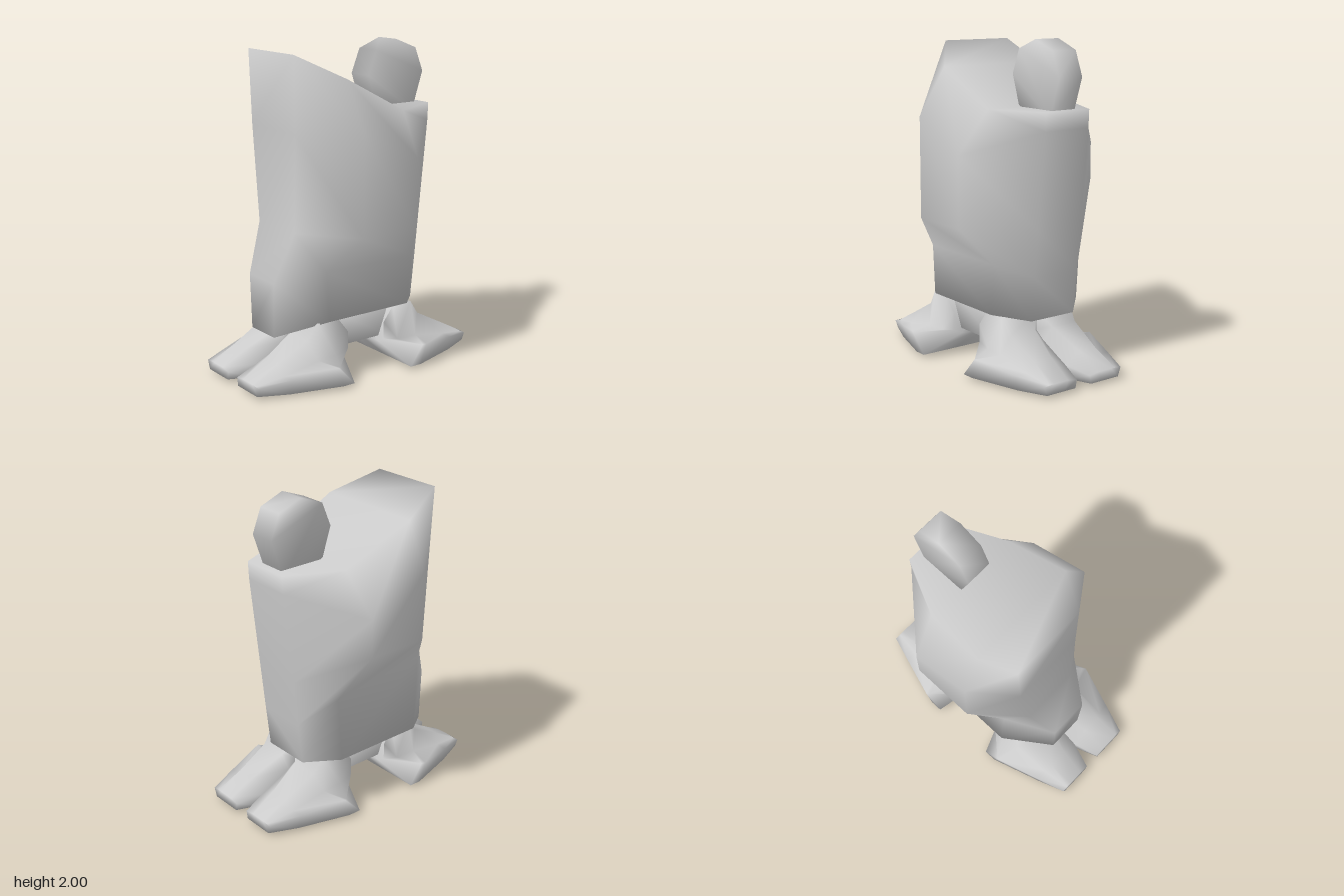
import * as THREE from 'three';

const material = new THREE.MeshStandardMaterial({ color: 0xcccccc });

function addMesh(group, name, geometry) {
  const mesh = new THREE.Mesh(geometry, material);
  mesh.name = name;
  group.add(mesh);
  return mesh;
}

// Skins a list of equal-length rings of [x, y, z] and closes both ends, with smooth normals.
function loft(rings, flip = false) {
  const n = rings[0].length;
  const index = [];
  const tri = (a, b, c) => index.push(a, flip ? c : b, flip ? b : c);
  for (let r = 0; r < rings.length - 1; r++) {
    for (let i = 0; i < n; i++) {
      const a = r * n + i, b = r * n + (i + 1) % n;
      // Mirror the diagonals between the two halves of the ring
      if (i < n / 2) {
        tri(a, b, a + n);
        tri(b, b + n, a + n);
      } else {
        tri(a, b, b + n);
        tri(a, b + n, a + n);
      }
    }
  }
  // Each end is a strip between the two halves of its ring
  const last = (rings.length - 1) * n;
  for (let i = 0, j = n - 1; i + 1 < j; i++, j--) {
    tri(i, j, i + 1);
    tri(last + i, last + i + 1, last + j);
    if (j - 1 > i + 1) {
      tri(i + 1, j, j - 1);
      tri(last + i + 1, last + j - 1, last + j);
    }
  }
  const geometry = new THREE.BufferGeometry();
  geometry.setAttribute('position', new THREE.Float32BufferAttribute(rings.flat(2), 3));
  geometry.setIndex(index);
  geometry.computeVertexNormals();
  return geometry;
}

export function createModel() {
  const model = new THREE.Group();
  const footX = 0.035;

  // Eight-sided body, widest at mid height, with a top that slopes down to the back
  addMesh(model, 'body', loft([
    [[0.13, 0.28, 0.565], [0.33, 0.38, 0.3], [0.33, 0.38, -0.3], [0.16, 0.35, -0.47],
      [-0.16, 0.35, -0.47], [-0.33, 0.38, -0.3], [-0.33, 0.38, 0.3], [-0.11, 0.28, 0.565]],
    [[0.14, 0.62, 0.57], [0.33, 0.69, 0.32], [0.33, 0.69, -0.33], [0.16, 0.62, -0.5],
      [-0.16, 0.62, -0.5], [-0.33, 0.8, -0.33], [-0.33, 0.88, 0.32], [-0.12, 0.62, 0.57]],
    [[0.16, 0.91, 0.43], [0.505, 0.91, 0.18], [0.505, 0.91, -0.22], [0.16, 0.91, -0.53],
      [-0.16, 0.91, -0.53], [-0.505, 1.1, -0.22], [-0.505, 1.1, 0.18], [-0.22, 0.91, 0.43]],
    [[0.16, 1.5, 0.42], [0.505, 1.53, 0.18], [0.505, 1.34, -0.22], [0.16, 1.49, -0.59],
      [-0.16, 1.49, -0.59], [-0.505, 1.34, -0.22], [-0.505, 1.53, 0.18], [-0.3, 1.5, 0.42]],
    [[0.15, 1.96, 0.42], [0.33, 1.82, 0.17], [0.32, 1.6, -0.26], [0.16, 1.6, -0.595],
      [-0.16, 1.6, -0.595], [-0.32, 1.6, -0.26], [-0.385, 1.82, 0.17], [-0.33, 1.96, 0.42]],
  ]));

  // Disc-like head at the back of the top
  const headProfile = [
    [1.55, -0.26], [1.55, -0.53], [1.79, -0.61], [1.94, -0.55],
    [2, -0.395], [1.94, -0.24], [1.79, -0.18],
  ];
  addMesh(model, 'head', loft([-0.09, 0.08].map((x) => headProfile.map(([y, z]) => [x, y, z]))));

  // Hip plate and the block joining the front and back feet
  addMesh(model, 'hipPlate', new THREE.BoxGeometry(0.3, 0.05, 0.72))
    .position.set(0, 0.365, -0.06);
  const bridgeProfile = [
    [-0.22, 0.4], [-0.2, 0.17], [-0.06, 0.11], [0.06, 0.11], [0.2, 0.17], [0.22, 0.4],
  ];
  addMesh(model, 'footBridge', loft([-0.2, 0.2].map((z) => bridgeProfile.map(([x, y]) => [x, y, z]))))
    .position.x = footX;

  // Two toes in front and two behind: a narrow ridge rising to the ankle beside a
  // low flange that flares outward; sections run from the tip to the heel
  const toe = [
    [[0.06, 0.02, 0.8], [0.14, 0.02, 0.8], [0.27, 0.02, 0.8], [0.29, 0.075, 0.8],
      [0.25, 0.075, 0.8], [0.215, 0.08, 0.8], [0.115, 0.08, 0.8], [0.05, 0.07, 0.8]],
    [[0, 0.02, 0.64], [0.16, 0, 0.63], [0.34, 0.015, 0.62], [0.355, 0.105, 0.61],
      [0.28, 0.105, 0.62], [0.23, 0.165, 0.64], [0.105, 0.165, 0.64], [0, 0.1, 0.64]],
    [[0, 0.02, 0.3], [0.2, 0.01, 0.3], [0.44, 0.02, 0.3], [0.445, 0.145, 0.34],
      [0.29, 0.15, 0.38], [0.245, 0.275, 0.43], [0.065, 0.275, 0.43], [0, 0.2, 0.43]],
    [[0, 0.02, 0.22], [0.2, 0.02, 0.22], [0.44, 0.02, 0.22], [0.43, 0.14, 0.32],
      [0.28, 0.15, 0.24], [0.26, 0.37, 0.36], [0, 0.37, 0.36], [0, 0.25, 0.36]],
    [[0, 0.13, 0.14], [0.1, 0.13, 0.14], [0.2, 0.14, 0.14], [0.265, 0.17, 0.14],
      [0.265, 0.28, 0.14], [0.265, 0.37, 0.21], [0, 0.37, 0.21], [0, 0.28, 0.14]],
  ];
  for (const sz of [1, -1]) {
    const foot = new THREE.Group();
    foot.name = sz > 0 ? 'frontFoot' : 'backFoot';
    foot.position.x = footX;
    for (const sx of [1, -1]) {
      const rings = toe.map((ring) => ring.map(([x, y, z]) => [sx * x, y, sz * z]));
      addMesh(foot, sx > 0 ? 'leftToe' : 'rightToe', loft(rings, sx * sz > 0));
    }
    model.add(foot);
  }
  return model;
}
